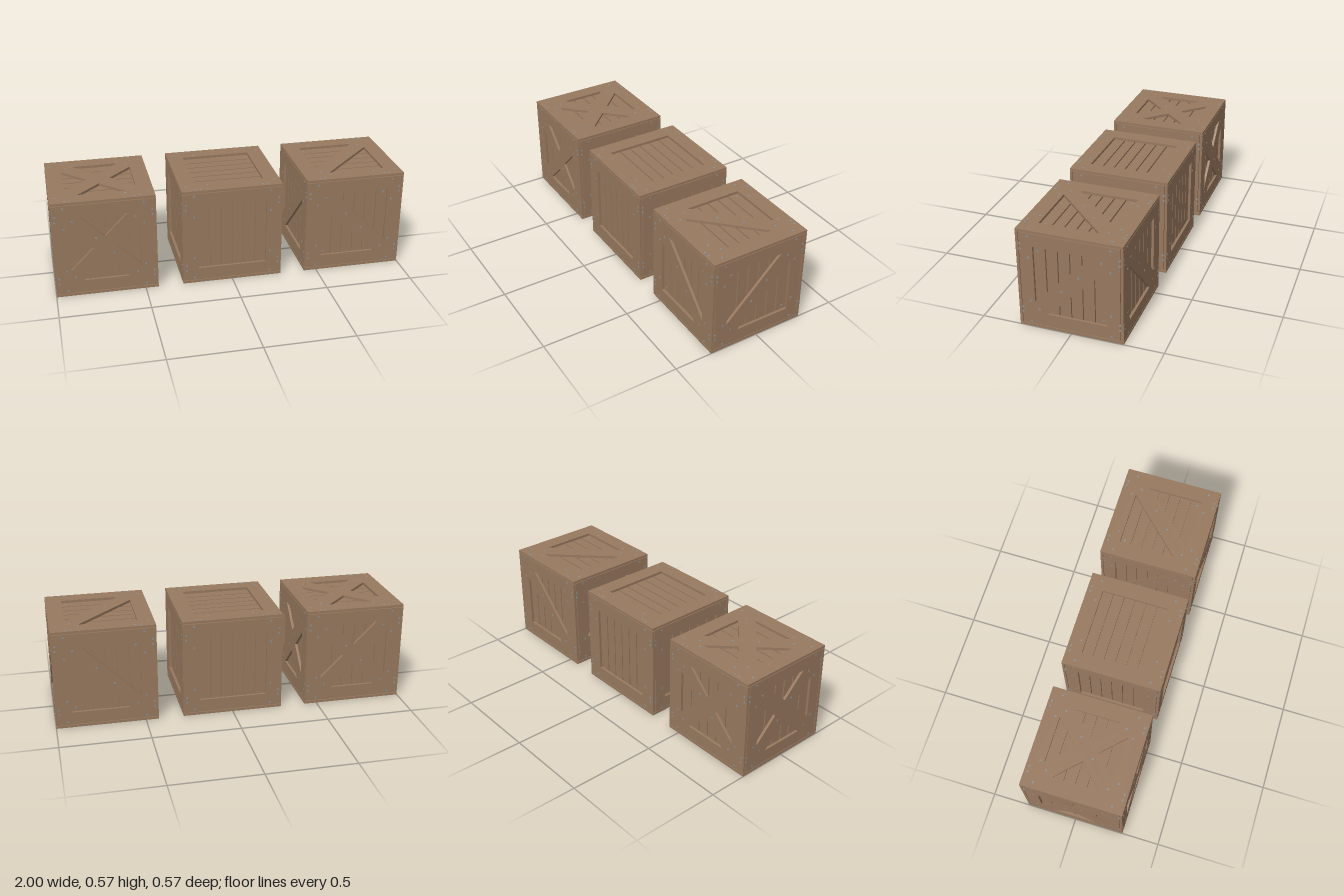
import * as THREE from 'three';
import { mergeGeometries } from 'three/addons/utils/BufferGeometryUtils.js';

const S = 0.2855;      // half size of a crate
const T = 0.0145;      // thickness of frame boards
const P = 0.012;       // thickness of planks
const O = 0.195;       // half size of the frame opening
const SEAM = 0.003;    // gap between neighbouring frames
const BRACE = 0.066;   // brace half width, measured along the opening edge
const BOLT_OUT = 0.0012;

const wood = new THREE.MeshStandardMaterial({ color: 0x98795f });
wood.name = 'wood';
const metal = new THREE.MeshStandardMaterial({ color: 0x8c8f92 });
metal.name = 'boltMetal';

function add(parent, geometry, material, name) {
  const mesh = new THREE.Mesh(geometry, material);
  mesh.name = name;
  parent.add(mesh);
  return mesh;
}

const shapeOf = pts => new THREE.Shape(pts.map(([x, y]) => new THREE.Vector2(x, y)));
const rect = (w, h) => [[-w, -h], [w, -h], [w, h], [-w, h]];

// board cut from a shape, with its outer face on z = 0
function board(shape) {
  return new THREE.ExtrudeGeometry(shape, { depth: T, bevelEnabled: false }).translate(0, 0, -T);
}

function frameGeometry(w, h) {
  const shape = shapeOf(rect(w, h));
  shape.holes.push(shapeOf(rect(O, O)));
  return board(shape);
}

// diagonal brace trimmed to the opening; m = 1 rises to the right, -1 to the left
function braceGeometry(m) {
  const e = O - BRACE;
  const pts = [[-O, -e], [-O, -O], [-e, -O], [O, e], [O, O], [e, O]];
  return board(shapeOf(pts.map(([x, y]) => [x * m, y])));
}

// six upright planks behind the opening; outer two run on under the frame
function plankGeometry() {
  const pitch = O / 3, gap = 0.007, end = 0.25;
  const planks = [];
  for (let i = 0; i < 6; i++) {
    const a = i === 0 ? -end : -O + i * pitch + gap / 2;
    const b = i === 5 ? end : -O + (i + 1) * pitch - gap / 2;
    planks.push(new THREE.BoxGeometry(b - a, 2 * end, P).translate((a + b) / 2, 0, -T - P / 2));
  }
  return mergeGeometries(planks);
}

function boltGeometry(style, m) {
  const spots = [];
  // frame corners
  for (const sx of [-1, 1]) for (const sy of [-1, 1]) {
    for (const [x, y] of [[0.219, 0.252], [0.219, 0.128], [0.265, 0.204], [0.265, 0.174]])
      spots.push([sx * x, sy * y, 0]);
    if (style !== 'plain') {
      // opening corners: on a brace, or on the planks where there is none
      const onBrace = style === 'cross' || sx * sy === m;
      spots.push([sx * 0.172, sy * 0.172, onBrace ? 0 : -T]);
    }
  }
  // middle of the brace
  if (style !== 'plain') spots.push([-0.046 * m, -0.04, 0], [0.048 * m, 0.06, 0]);
  return mergeGeometries(spots.map(([x, y, z]) =>
    new THREE.CylinderGeometry(0.0065, 0.0065, 0.006, 10)
      .rotateX(Math.PI / 2)
      .translate(x, y, z + BOLT_OUT - 0.003)));
}

// one crate face, built facing +z
function makeFace(name, style, m, w, h) {
  const face = new THREE.Group();
  face.name = name;
  add(face, frameGeometry(w, h), wood, 'frame');
  add(face, plankGeometry(), wood, 'planks');
  if (style !== 'plain') add(face, braceGeometry(m), wood, 'brace');
  if (style === 'cross') add(face, braceGeometry(-m), wood, 'crossBrace');
  add(face, boltGeometry(style, m), metal, 'bolts');
  return face;
}

function makeCrate(name, style) {
  const crate = new THREE.Group();
  crate.name = name;
  const inner = S - T - SEAM;
  const q = Math.PI / 2;

  // name, outward direction, rotation, brace slope, half width, half height
  const faces = [
    ['frontFace', [0, 0, 1], [0, 0, 0], -1, S, inner],
    ['rightFace', [1, 0, 0], [0, q, 0], 1, inner, inner],
    ['backFace', [0, 0, -1], [0, 2 * q, 0], -1, S, inner],
    ['leftFace', [-1, 0, 0], [0, -q, 0], 1, inner, inner],
    ['lid', [0, 1, 0], [-q, 0, -q], -1, S, S],
  ];
  for (const [faceName, dir, rot, m, w, h] of faces) {
    const face = makeFace(faceName, style, m, w, h);
    face.position.set(...dir).multiplyScalar(S);
    face.rotation.set(...rot);
    crate.add(face);
  }

  // solid core behind the plank gaps, and the base board
  const core = 2 * (S - T - P);
  add(crate, new THREE.BoxGeometry(core, core, core), wood, 'core');
  add(crate, new THREE.BoxGeometry(2 * S, T, 2 * S), wood, 'base').position.y = -S + T / 2;
  crate.position.y = S;
  return crate;
}

export function createModel() {
  const model = new THREE.Group();
  model.name = 'woodenCrates';
  const styles = ['cross', 'plain', 'diagonal'];
  styles.forEach((style, i) => {
    const crate = makeCrate(style + 'Crate', style);
    crate.position.x = (i - 1) * 0.7133;
    model.add(crate);
  });
  return model;
}
